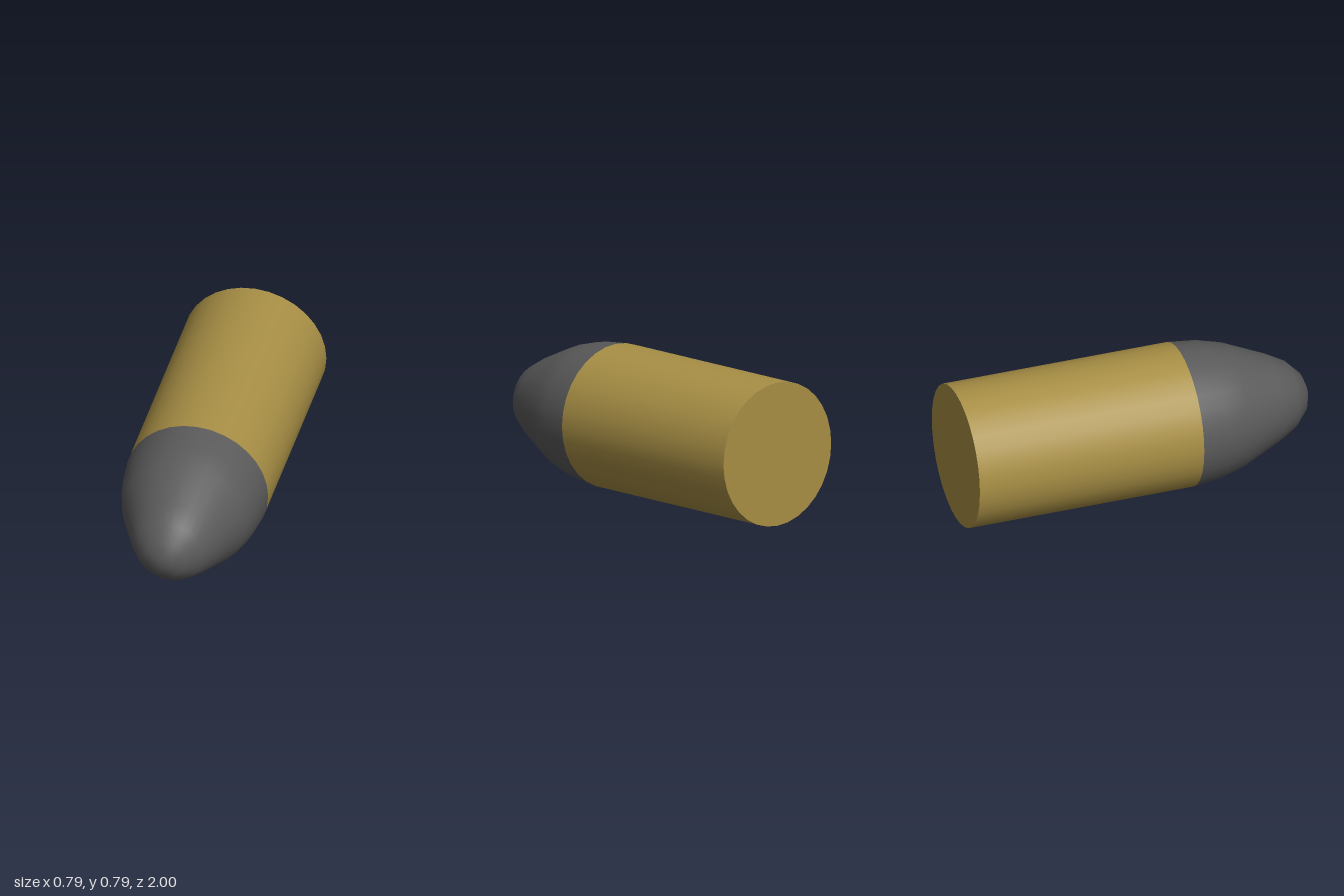
import * as THREE from 'three';

const RADIUS = 0.397, SIDES = 32, CENTRE_Y = 0.4, JOINT_Z = 0.283;

export function createModel() {
  const model = new THREE.Group();
  model.name = 'cartridge';

  const add = (name, geometry, color) => {
    // Geometries are built along y, then laid down to point at +z
    geometry.rotateX(Math.PI / 2).translate(0, CENTRE_Y, 0);
    const mesh = new THREE.Mesh(geometry, new THREE.MeshStandardMaterial({ color }));
    mesh.name = name;
    model.add(mesh);
  };

  // Straight brass case with a flat rear end
  const length = JOINT_Z + 1;
  const body = new THREE.CylinderGeometry(RADIUS, RADIUS, length, SIDES);
  body.translate(0, JOINT_Z - length / 2, 0);
  add('case', body, 0xa88f45);

  // Smooth tapering nose: [radius, z] from the joint to the blunt tip
  const profile = [
    [RADIUS, JOINT_Z], [0.38, 0.44], [0.345, 0.57], [0.245, 0.795],
    [0.187, 0.9], [0.111, 0.972], [0.04, 1], [0, 1],
  ].map(([r, z]) => new THREE.Vector2(r, z));
  add('nose', new THREE.LatheGeometry(profile, SIDES), 0x5a5a5a);

  return model;
}
